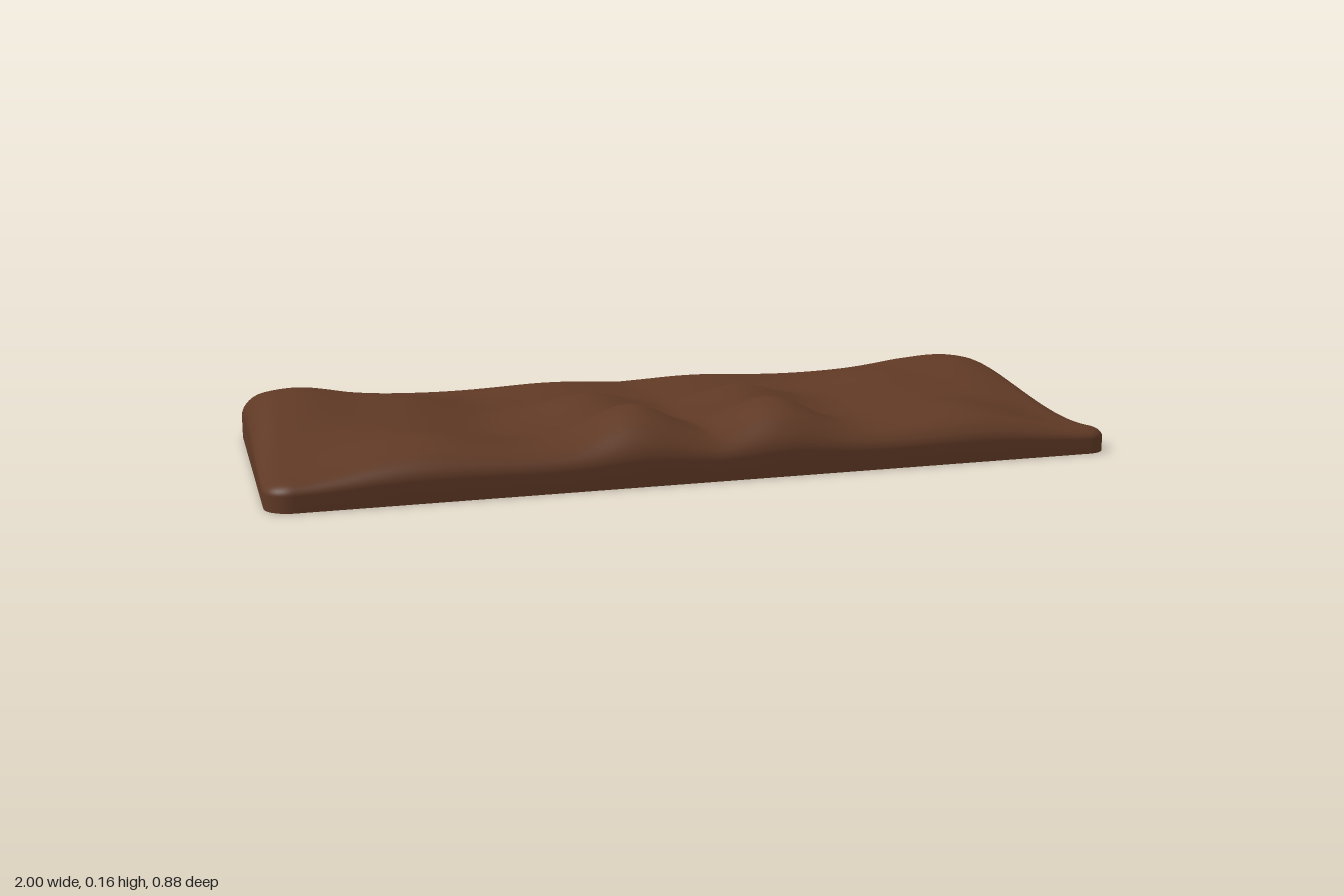
import * as THREE from 'three';

const HX = 1, HZ = 0.44, EDGE = 0.06;

// Mirrored swells and hollows: |x|, z, width, depth, height
const swells = [
  [0.17, 0.29, 0.085, 0.1, 0.072],
  [0.2, 0.0, 0.1, 0.07, 0.05],
  [0.2, -0.28, 0.14, 0.09, 0.025],
  [0.88, -0.18, 0.12, 0.17, 0.062],
  [0.62, -0.12, 0.1, 0.12, 0.035],
  [0.65, 0.27, 0.12, 0.1, 0.03],
  [0.95, 0.3, 0.12, 0.15, -0.03],
  [0.45, 0.12, 0.12, 0.08, -0.015],
];

function moundHeight(x, z) {
  let h = 0.086;
  for (const [cx, cz, sx, sz, a] of swells) {
    h += a * Math.exp(-0.5 * (((Math.abs(x) - cx) / sx) ** 2 + ((z - cz) / sz) ** 2));
  }
  return h;
}

// Grid line position, closer together toward the rim
const spread = (i, n) => Math.sin((Math.min(Math.max((i - 1) / n, 0), 1) - 0.5) * Math.PI);

export function createModel() {
  const group = new THREE.Group();
  group.name = 'moundModel';
  const earth = new THREE.MeshStandardMaterial({ color: 0x5f3925, side: THREE.DoubleSide });
  earth.name = 'earth brown';

  // One hollow skin: the outermost grid ring drops to the ground as the side wall
  const nx = 112, nz = 60;
  const geo = new THREE.PlaneGeometry(1, 1, nx + 2, nz + 2);
  const pos = geo.attributes.position;
  for (let k = 0; k < pos.count; k++) {
    const i = k % (nx + 3), j = Math.floor(k / (nx + 3));
    let x = HX * spread(i, nx), z = HZ * spread(j, nz);

    // Rounded plan corners and a rolled rim
    let p = Math.max(Math.abs(x) - (HX - EDGE), 0) / EDGE;
    let q = Math.max(Math.abs(z) - (HZ - EDGE), 0) / EDGE;
    const p0 = p;
    p *= Math.sqrt(1 - q * q / 2);
    q *= Math.sqrt(1 - p0 * p0 / 2);
    if (p > 0) x = Math.sign(x) * (HX - EDGE + p * EDGE);
    if (q > 0) z = Math.sign(z) * (HZ - EDGE + q * EDGE);
    const t = Math.min(1, Math.hypot(p, q));
    const rim = 0.52 + 0.48 * Math.sqrt(1 - t * t);

    const onGround = i === 0 || j === 0 || i === nx + 2 || j === nz + 2;
    pos.setXYZ(k, x, onGround ? 0 : moundHeight(x, z) * rim, z);
  }
  geo.computeVertexNormals();

  const mound = new THREE.Mesh(geo, earth);
  mound.name = 'mound';
  group.add(mound);
  return group;
}
